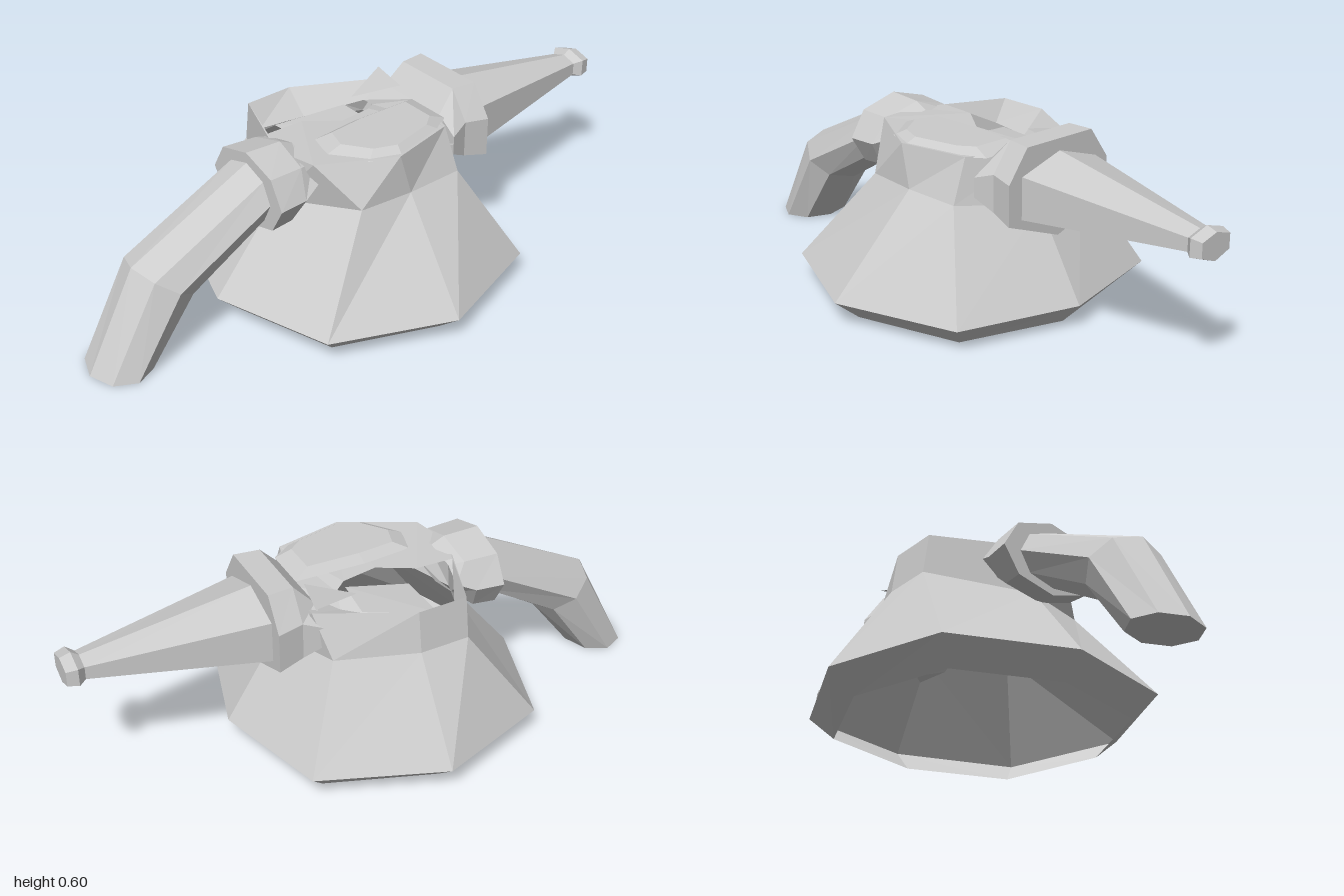
import * as THREE from 'three';

const material = new THREE.MeshStandardMaterial({
  color: 0xcccccc, flatShading: true, side: THREE.DoubleSide,
});

function addMesh(group, name, positions) {
  const geometry = new THREE.BufferGeometry();
  geometry.setAttribute('position', new THREE.Float32BufferAttribute(positions.flat(), 3));
  geometry.computeVertexNormals();
  const mesh = new THREE.Mesh(geometry, material);
  mesh.name = name;
  group.add(mesh);
}

// Joins closed rings of equal point count; an optional fan closes the last one.
function loft(group, name, rings, capEnd = false) {
  const out = [];
  const n = rings[0].length;
  for (let r = 0; r < rings.length - 1; r++) {
    for (let i = 0; i < n; i++) {
      const j = (i + 1) % n;
      const [a, b, c, d] = [rings[r][i], rings[r][j], rings[r + 1][j], rings[r + 1][i]];
      out.push(a, b, c, a, c, d);
    }
  }
  if (capEnd) {
    const ring = rings[rings.length - 1];
    for (let i = 1; i < n - 1; i++) out.push(ring[0], ring[i], ring[i + 1]);
  }
  addMesh(group, name, out);
}

// Mirrors a half outline [x, z] running front to back at a fixed height.
function mirrored(half, y) {
  const right = half.map(([x, z]) => [x, y, z]);
  const left = half.slice(1, -1).reverse().map(([x, z]) => [-x, y, z]);
  return [...right, ...left];
}

// Octagon with a point on top, spanned between an upper and a lower (y, z).
function tubeRing(halfWidth, top, bottom) {
  return Array.from({ length: 8 }, (_, i) => {
    const a = (i / 8) * Math.PI * 2;
    const t = (1 - Math.cos(a)) / 2;
    return [
      Math.sin(a) * halfWidth,
      THREE.MathUtils.lerp(top[0], bottom[0], t),
      THREE.MathUtils.lerp(top[1], bottom[1], t),
    ];
  });
}

// Six-sided ring for the tapering spout, point up.
function spoutRing(w, top, bottom, z) {
  const h = top - bottom;
  return [
    [0, top, z], [-w, top - h * 0.2, z], [-w, bottom + h * 0.25, z],
    [0, bottom, z], [w, bottom + h * 0.25, z], [w, top - h * 0.2, z],
  ];
}

// Wide-topped ring for the rear collar.
function collarRing(w, top, bottom, z) {
  const h = top - bottom;
  return [
    [0, top, z], [-w * 0.65, top, z], [-w, top - h * 0.33, z], [-w, bottom + h * 0.25, z],
    [0, bottom, z], [w, bottom + h * 0.25, z], [w, top - h * 0.33, z], [w * 0.65, top, z],
  ];
}

export function createModel() {
  const model = new THREE.Group();
  model.name = 'model';

  // Flared skirt, open underneath, with an off-centre opening in the deck
  const foot = mirrored([[0, 0.46], [0.34, 0.35], [0.46, 0.02], [0.34, -0.32], [0, -0.42]], 0.005);
  const rim = mirrored([[0, 0.54], [0.4, 0.41], [0.55, 0.02], [0.4, -0.38], [0, -0.49]], 0.08);
  const waist = [
    [0, 0.36, 0.31], [0.265, 0.395, 0.175], [0.275, 0.395, -0.01], [0.265, 0.395, -0.21],
    [0, 0.36, -0.31], [-0.25, 0.385, -0.235], [-0.34, 0.39, 0.02], [-0.33, 0.39, 0.19],
  ];
  const shoulder = [
    [0, 0.53, 0.3], [0.15, 0.535, 0.27], [0.27, 0.535, 0.03], [0.21, 0.535, -0.2],
    [0, 0.52, -0.27], [-0.18, 0.525, -0.27], [-0.32, 0.525, 0.02], [-0.31, 0.525, 0.19],
  ];
  const opening = [
    [-0.1, 0.53, 0.26], [-0.1, 0.53, 0.13], [-0.03, 0.525, 0.02], [-0.05, 0.52, -0.1],
    [-0.08, 0.51, -0.14], [-0.15, 0.49, -0.16], [-0.24, 0.45, 0.02], [-0.26, 0.45, 0.18],
  ];
  loft(model, 'skirt', [foot, rim, waist]);
  loft(model, 'upperBody', [waist, shoulder, opening]);

  // Softly raised pad on the left half of the deck
  const padOutline = [
    [0.02, 0.17], [0.12, 0.2], [0.23, 0.12], [0.265, 0.02],
    [0.21, -0.18], [0.16, -0.24], [0, -0.24], [0, 0],
  ];
  const padRing = (scale, y) =>
    padOutline.map(([x, z]) => [0.13 + (x - 0.13) * scale, y, -0.02 + (z + 0.02) * scale]);
  loft(model, 'deckPad', [padRing(1, 0.53), padRing(0.75, 0.552)], true);

  // Loose panels within the opening
  const [panelA, panelB, panelC, panelD] = [
    [-0.25, 0.45, 0.13], [-0.07, 0.46, 0.12], [-0.04, 0.49, -0.09], [-0.18, 0.48, -0.1],
  ];
  addMesh(model, 'innerPanel', [panelA, panelB, panelC, panelA, panelC, panelD]);
  addMesh(model, 'deckShard', [[-0.21, 0.555, -0.27], [-0.14, 0.525, -0.1], [-0.06, 0.555, -0.24]]);

  // Front collar running straight into the body
  loft(model, 'frontCollar', [
    tubeRing(0.15, [0.535, 0.24], [0.39, 0.26]),
    tubeRing(0.17, [0.556, 0.285], [0.315, 0.34]),
    tubeRing(0.18, [0.56, 0.41], [0.31, 0.41]),
  ], true);

  // Bent front tube reaching the ground
  loft(model, 'frontTube', [
    tubeRing(0.12, [0.53, 0.4], [0.34, 0.4]),
    tubeRing(0.125, [0.32, 0.83], [0.19, 0.65]),
    tubeRing(0.12, [0, 1], [0, 0.8]),
  ], true);

  // Rear collar stepping up out of the body
  loft(model, 'rearCollar', [
    collarRing(0.21, 0.53, 0.38, -0.24),
    collarRing(0.19, 0.597, 0.31, -0.305),
    collarRing(0.205, 0.597, 0.285, -0.39),
  ], true);

  // Tapering rear spout with a knobbed tip
  loft(model, 'rearSpout', [
    spoutRing(0.155, 0.56, 0.31, -0.38),
    spoutRing(0.048, 0.475, 0.4, -0.945),
  ]);
  loft(model, 'spoutTip', [
    spoutRing(0.048, 0.475, 0.4, -0.94),
    spoutRing(0.068, 0.492, 0.388, -0.965),
    spoutRing(0.058, 0.482, 0.396, -1),
  ], true);

  return model;
}
